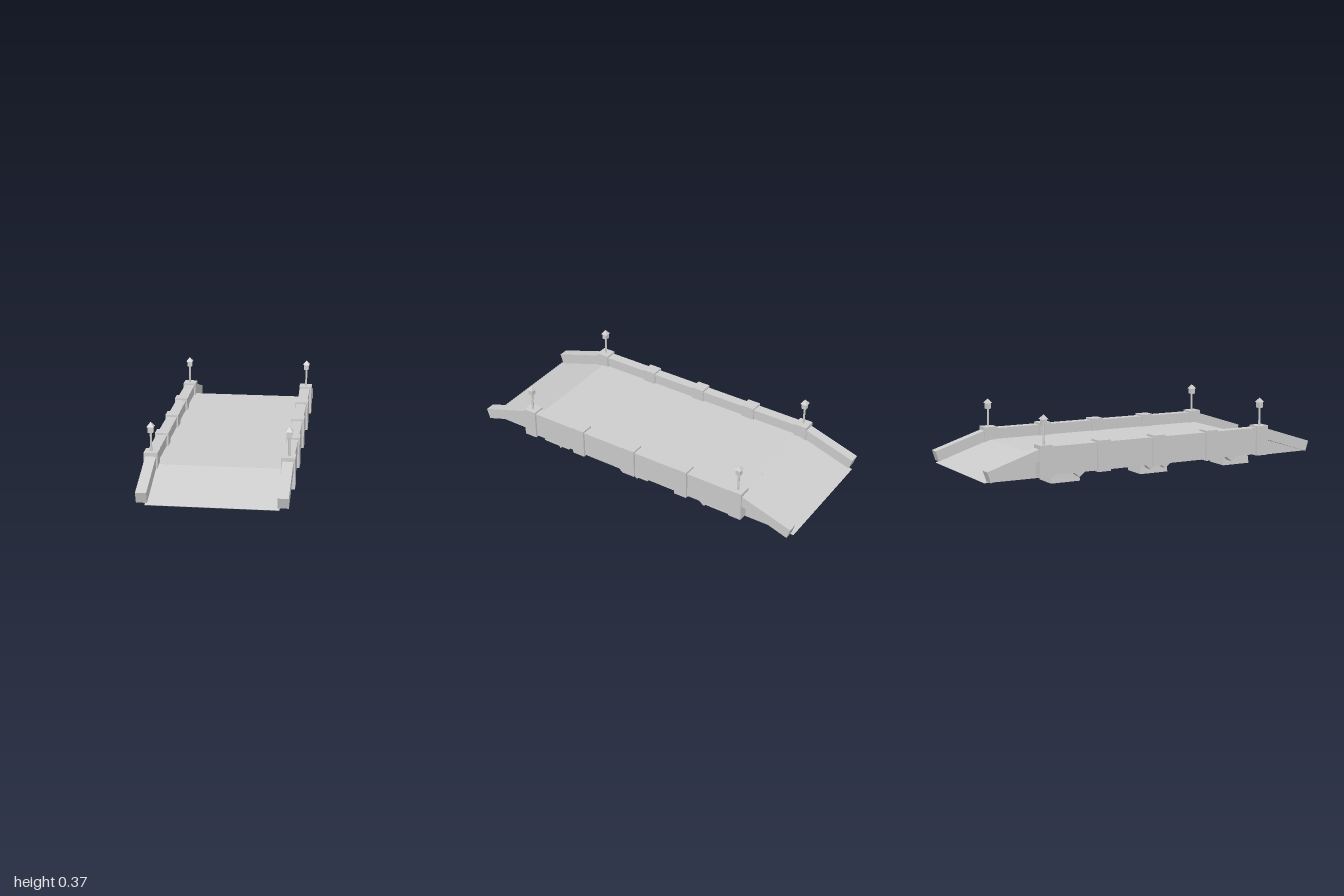
import * as THREE from 'three';

const stone = new THREE.MeshStandardMaterial({ color: 0xcccccc, flatShading: true });
stone.name = 'stone';

export function createModel() {
  const bridge = new THREE.Group();
  bridge.name = 'bridge';

  const add = (name, geometry, x = 0, y = 0, z = 0) => {
    const mesh = new THREE.Mesh(geometry, stone);
    mesh.name = name;
    mesh.position.set(x, y, z);
    bridge.add(mesh);
    return mesh;
  };

  // Box given by its bounds in y and its centre in x and z
  const block = (name, w, y0, y1, d, x, z) =>
    add(name, new THREE.BoxGeometry(w, y1 - y0, d), x, (y0 + y1) / 2, z);

  // Side profile of [z, y] points, extruded from x0 to x1
  const profile = (name, points, x0, x1, end = 1) => {
    const shape = new THREE.Shape(points.map(([z, y]) => new THREE.Vector2(z * end, y)));
    const g = new THREE.ExtrudeGeometry(shape, { depth: x1 - x0, bevelEnabled: false });
    g.rotateY(-Math.PI / 2);
    g.translate(x1, 0, 0);
    return add(name, g);
  };

  // Four-sided frustum with its base at y = 0
  const frustum = (wBottom, dBottom, wTop, dTop, h) => {
    const g = new THREE.BoxGeometry(1, h, 1);
    g.translate(0, h / 2, 0);
    const p = g.attributes.position;
    for (let i = 0; i < p.count; i++) {
      const top = p.getY(i) > h / 2;
      p.setX(i, p.getX(i) * (top ? wTop : wBottom));
      p.setZ(i, p.getZ(i) * (top ? dTop : dBottom));
    }
    g.computeVertexNormals();
    return g;
  };

  // Road deck and the thin sloping slab at each end
  block('deck', 0.67, 0.12, 0.144, 1.345, 0, 0);
  for (const end of [1, -1]) {
    profile('ramp', [[0.672, 0.144], [0.998, 0.04], [0.994, 0.037], [0.672, 0.14]], -0.335, 0.335, end);
  }

  for (const side of [1, -1]) {
    const span = (name, points, a, b, end) =>
      profile(name, points, Math.min(a * side, b * side), Math.max(a * side, b * side), end);

    // Parapet with its coping and posts
    block('parapet', 0.05, 0.055, 0.193, 1.345, side * 0.3525, 0);
    block('coping', 0.058, 0.193, 0.205, 1.345, side * 0.3525, 0);
    for (let i = -2; i <= 2; i++) {
      block('post', 0.073, 0.048, 0.215, 0.075, side * 0.3535, i * 0.3365);
    }

    for (const end of [1, -1]) {
      // Sloping end wall and the skirt under it
      span('rampWall', [[0.68, 0.205], [1.0, 0.103], [0.981, 0.045], [0.68, 0.143]], 0.325, 0.381, end);
      span('rampSkirt', [[0.67, 0.143], [0.994, 0.039], [0.67, 0.038]], 0.33, 0.335, end);

      // Lamp on the end post
      const x = side * 0.356, z = end * 0.673;
      add('lampPole', new THREE.CylinderGeometry(0.006, 0.006, 0.105, 8), x, 0.265, z);
      add('lantern', new THREE.BoxGeometry(0.027, 0.034, 0.027), x, 0.331, z);
      const roof = new THREE.ConeGeometry(0.019 * Math.SQRT2, 0.025, 4);
      roof.rotateY(Math.PI / 4);
      add('lanternRoof', roof, x, 0.3585, z);
    }

    // Piers, slightly wider at the foot
    for (const z of [-0.536, 0, 0.536]) {
      add('pier', frustum(0.137, 0.17, 0.113, 0.148, 0.125), side * 0.2625, 0, z);
    }

    // Pointed brackets under the parapet
    for (const z of [-0.475, -0.045, 0.045, 0.475]) {
      span('bracket', [[z - 0.034, 0.057], [z + 0.034, 0.057], [z, 0.029]], 0.33, 0.374);
    }
  }

  return bridge;
}
